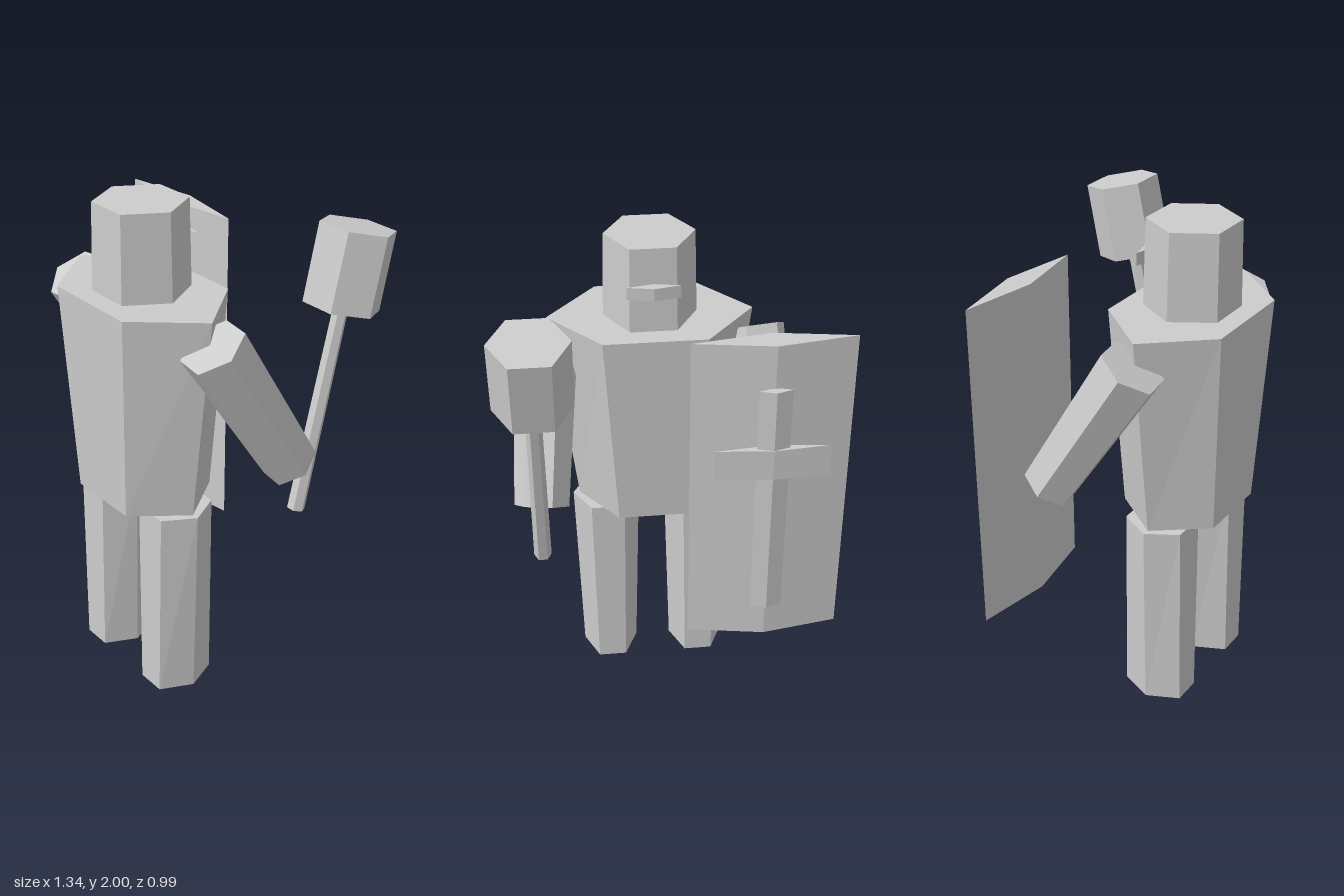
import * as THREE from 'three';

const stone = new THREE.MeshStandardMaterial({ color: 0xcccccc, flatShading: true });
stone.name = 'plain grey';

// Prism from point a to point b. Each end has radii [along u, across u].
function prism(name, a, b, endA, endB, sides = 6, u = [1, 0, 0]) {
  const A = new THREE.Vector3(...a), B = new THREE.Vector3(...b);
  const axis = B.clone().sub(A).normalize();
  const along = new THREE.Vector3(...u);
  along.addScaledVector(axis, -along.dot(axis)).normalize();
  const across = axis.clone().cross(along);
  const geo = new THREE.CylinderGeometry(1, 1, 2, sides, 1);
  const p = geo.attributes.position;
  for (let i = 0; i < p.count; i++) {
    const top = p.getY(i) > 0;
    const r = top ? endB : endA;
    const v = (top ? B : A).clone()
      .addScaledVector(along, p.getZ(i) * r[0])
      .addScaledVector(across, p.getX(i) * r[1]);
    p.setXYZ(i, v.x, v.y, v.z);
  }
  geo.computeVertexNormals();
  const mesh = new THREE.Mesh(geo, stone);
  mesh.name = name;
  return mesh;
}

export function createModel() {
  const model = new THREE.Group();
  model.name = 'blocky warrior';
  const mid = 0.046; // centre line of the body

  // Body and head
  model.add(
    prism('torso', [mid, 0.82, 0.255], [mid, 1.66, 0.25], [0.305, 0.237], [0.405, 0.278]),
    prism('head', [mid, 1.66, 0.252], [mid, 2, 0.252], [0.184, 0.184], [0.176, 0.177]),
    prism('visor', [mid, 1.81, 0.07], [mid, 1.86, 0.07], [0.103, 0.021], [0.103, 0.021], 4)
  );

  // Legs and arms, mirrored about the centre line
  for (const [side, s] of [['left', 1], ['right', -1]]) {
    const x = mid + s * 0.193;
    model.add(
      prism(side + 'Leg', [x, 0, 0.255], [x, 0.82, 0.252], [0.118, 0.15], [0.139, 0.143]),
      prism(side + 'Arm', [mid + s * 0.467, 1.005, -0.087], [mid + s * 0.412, 1.572, 0.254],
        [0.109, 0.109], [0.128, 0.128], 6, [s * 0.988, 0, 0.154])
    );
  }

  // Mace in the left hand
  const mace = new THREE.Group();
  mace.name = 'mace';
  mace.add(
    prism('maceHandle', [0.521, 0.79, -0.122], [0.521, 1.6, -0.307], [0.035, 0.035], [0.03, 0.03]),
    prism('maceHead', [0.52, 1.597, -0.307], [0.52, 1.894, -0.371], [0.149, 0.149], [0.149, 0.146])
  );
  model.add(mace);

  // Shield with a raised cross
  const shield = new THREE.Group();
  shield.name = 'shield';
  const bar = (name, y0, y1, z, r) =>
    prism(name, [-0.361, y0, z], [-0.361, y1, z], r, r, 4);
  shield.add(
    bar('shieldBoard', 0.44, 1.785, -0.243, [0.307, 0.051]),
    bar('crossUpright', 0.6, 1.61, -0.307, [0.063, 0.02]),
    bar('crossBar', 1.23, 1.36, -0.307, [0.222, 0.021])
  );
  model.add(shield);
  return model;
}
